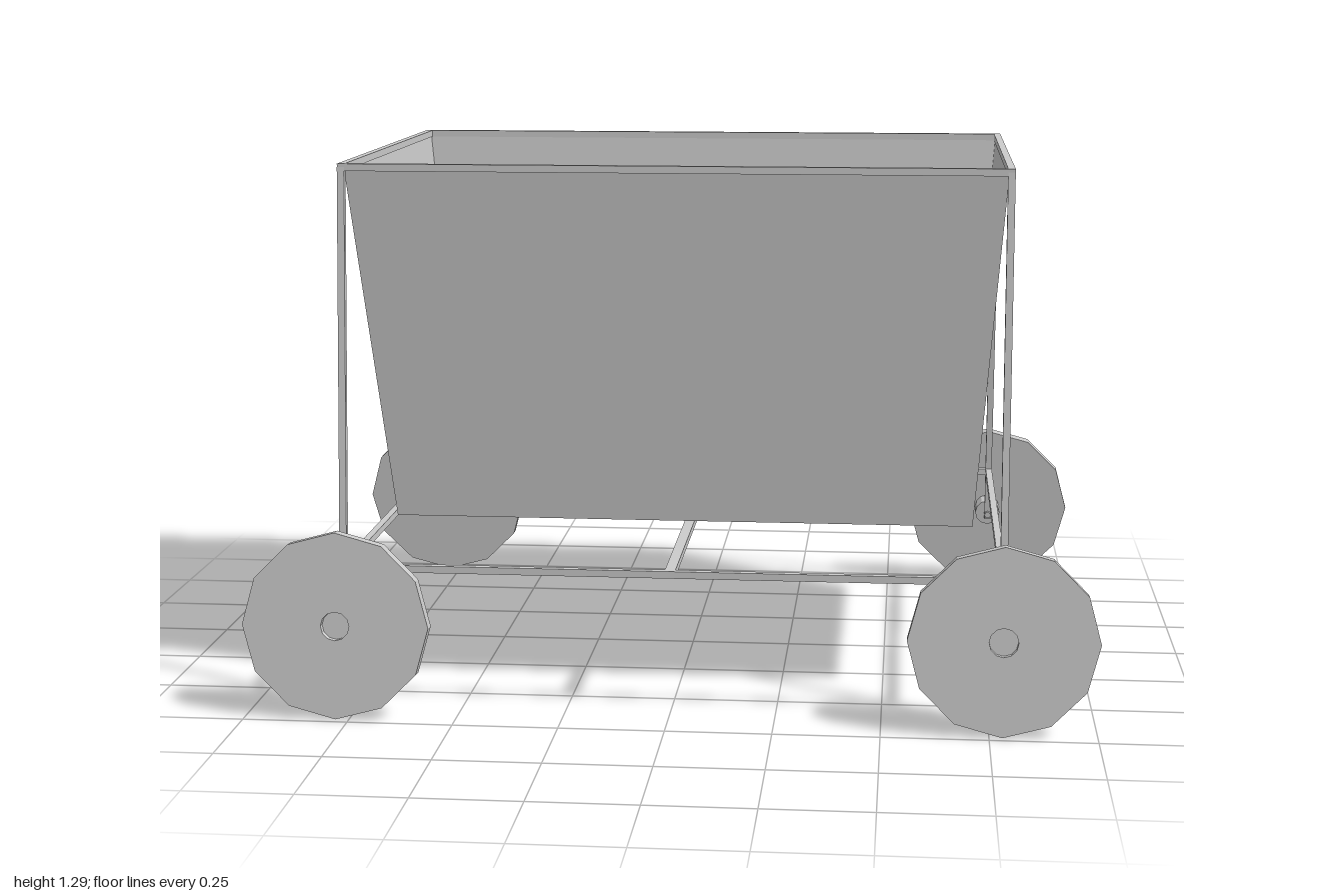
import * as THREE from 'three';

const mat = new THREE.MeshStandardMaterial({ color: 0xcccccc, flatShading: true });
const sheetMat = new THREE.MeshStandardMaterial({ color: 0xcccccc, flatShading: true, side: THREE.DoubleSide });
const BAR = 0.017;

function add(parent, name, geometry, material = mat) {
  const mesh = new THREE.Mesh(geometry, material);
  mesh.name = name;
  parent.add(mesh);
  return mesh;
}

// Square bar running between two points
function bar(parent, name, a, b, w = BAR, h = BAR) {
  const from = new THREE.Vector3(...a), to = new THREE.Vector3(...b);
  const mesh = add(parent, name, new THREE.BoxGeometry(w, h, from.distanceTo(to)));
  mesh.position.copy(from).add(to).multiplyScalar(0.5);
  mesh.lookAt(to);
  return mesh;
}

// Open tapered bin: four sloping walls and a floor
function binGeometry() {
  const rect = (cx, cz, hx, hz, y) =>
    [[-1, 1], [1, 1], [1, -1], [-1, -1]].map(([sx, sz]) => [cx + sx * hx, y, cz + sz * hz]);
  const low = rect(0.013, -0.002, 0.697, 0.442, 0.43);
  const high = rect(0, 0, 0.775, 0.528, 1.278);
  const quads = [[low[3], low[2], low[1], low[0]]];
  for (let i = 0; i < 4; i++) {
    const j = (i + 1) % 4;
    quads.push([low[i], low[j], high[j], high[i]]);
  }
  const points = quads.flatMap(([a, b, c, d]) => [a, b, c, a, c, d]).flat();
  const geo = new THREE.BufferGeometry();
  geo.setAttribute('position', new THREE.Float32BufferAttribute(points, 3));
  geo.computeVertexNormals();
  return geo;
}

// Twelve-sided disc with a round centre hole
function wheelGeometry(radius, hole, thickness) {
  const ring = (r) => Array.from({ length: 12 }, (_, i) =>
    new THREE.Vector2(Math.cos(i * Math.PI / 6) * r, Math.sin(i * Math.PI / 6) * r));
  const shape = new THREE.Shape(ring(radius));
  shape.holes.push(new THREE.Path(ring(hole).reverse()));
  return new THREE.ExtrudeGeometry(shape, { depth: thickness, bevelEnabled: false })
    .translate(0, 0, -thickness / 2);
}

export function createModel() {
  const model = new THREE.Group();
  model.name = 'cart';
  add(model, 'bin', binGeometry(), sheetMat);

  const X = 0.78;
  const frame = new THREE.Group();
  frame.name = 'frame';
  model.add(frame);

  for (const s of [-1, 1]) {
    // Long rails front and back, top and bottom
    bar(frame, 'topLongRail', [-X - BAR / 2, 1.286, s * 0.534], [X + BAR / 2, 1.286, s * 0.534]);
    bar(frame, 'bottomLongRail', [-X, 0.341, s * 0.612], [X, 0.341, s * 0.612]);
    // Short rails left and right
    bar(frame, 'topSideRail', [s * X, 1.286, -0.534], [s * X, 1.286, 0.534]);
    bar(frame, 'bottomSideRail', [s * X, 0.341, -0.612], [s * X, 0.341, 0.612]);
  }
  bar(frame, 'centreCrossbar', [0, 0.341, -0.612], [0, 0.341, 0.612], 0.025, BAR);

  // Splayed legs, each with a tilted wheel on a short hub
  const wheelGeo = wheelGeometry(0.222, 0.034, 0.034);
  const hubGeo = new THREE.CylinderGeometry(0.034, 0.034, 0.073, 12).rotateX(Math.PI / 2);
  const axleGeo = new THREE.CylinderGeometry(0.009, 0.009, 0.04, 8).rotateX(Math.PI / 2);
  for (const sx of [-1, 1]) {
    for (const sz of [-1, 1]) {
      bar(frame, 'leg', [sx * X, 1.286, sz * 0.535], [sx * X, 0.202, sz * 0.626]);

      const corner = new THREE.Group();
      corner.name = 'wheelMount';
      corner.position.set(sx * X, 0, 0);
      corner.rotation.y = sz > 0 ? 0 : Math.PI;
      const assembly = new THREE.Group();
      assembly.name = 'wheelAssembly';
      assembly.position.set(0, 0.2235, 0.705);
      assembly.rotation.x = -0.08;
      add(assembly, 'wheel', wheelGeo);
      add(assembly, 'hub', hubGeo).position.z = -0.0365;
      add(assembly, 'axle', axleGeo).position.z = -0.08;
      corner.add(assembly);
      model.add(corner);
    }
  }
  return model;
}
